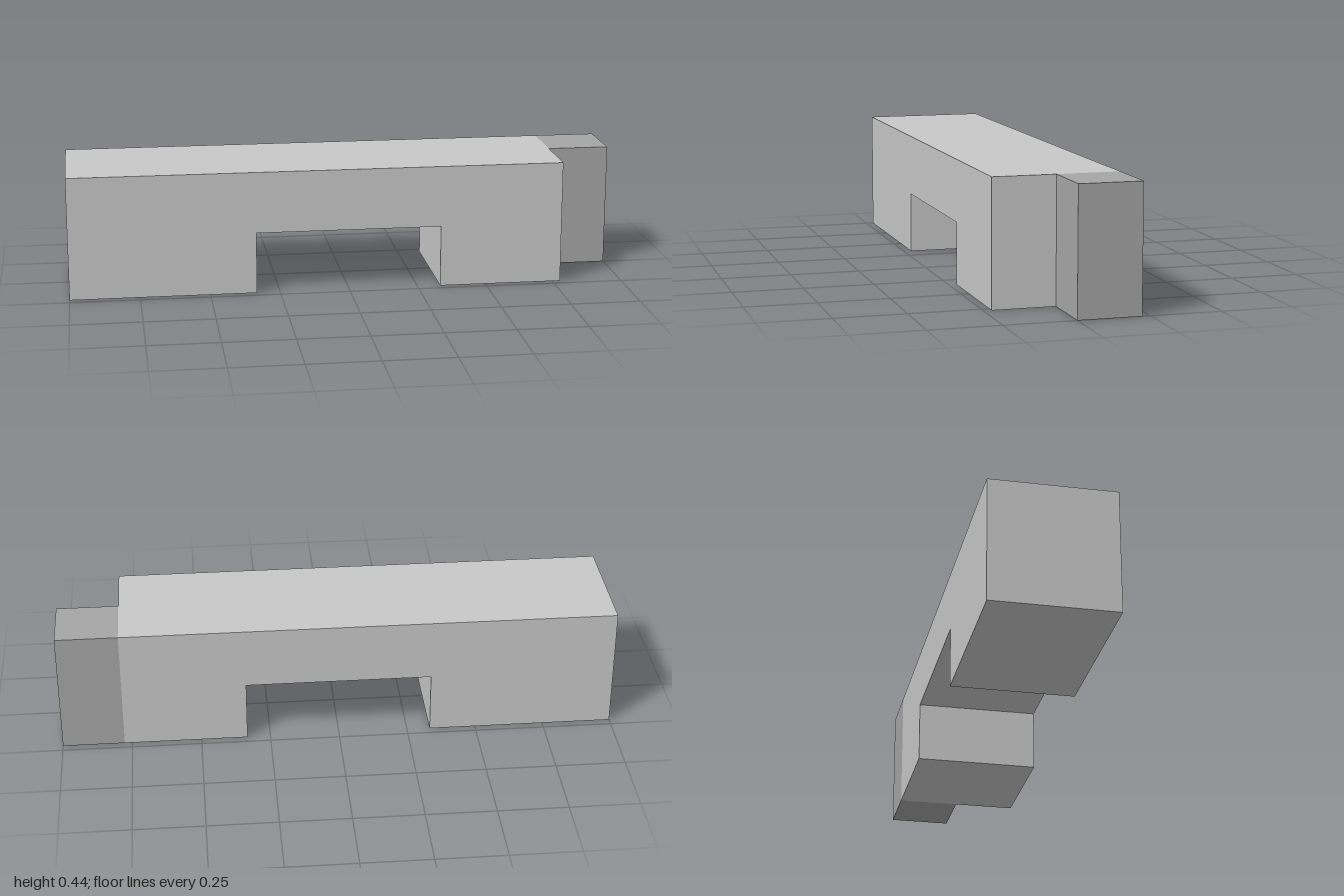
import * as THREE from 'three';

const U = 2 / 9; // grid unit: the model is 9 units long, 2 high, 2 deep

export function createModel() {
  const model = new THREE.Group();
  model.name = 'notchedBlock';

  const lightGrey = new THREE.MeshStandardMaterial({ color: 0xc8c8c8 });
  lightGrey.name = 'lightGrey';
  const darkGrey = new THREE.MeshStandardMaterial({ color: 0xa6a6a6 });
  darkGrey.name = 'darkGrey';

  // Bridge-shaped body: a beam on two feet, extruded front to back
  const profile = new THREE.Shape(
    [[-4.5, 0], [-1.5, 0], [-1.5, 1], [1.5, 1], [1.5, 0], [3.5, 0], [3.5, 2], [-4.5, 2]]
      .map(([x, y]) => new THREE.Vector2(x * U, y * U))
  );
  const bodyGeometry = new THREE.ExtrudeGeometry(profile, { depth: 2 * U, bevelEnabled: false });
  bodyGeometry.translate(0, 0, -U);
  const body = new THREE.Mesh(bodyGeometry, lightGrey);
  body.name = 'body';

  // Half-depth tab on the left end, flush with the back
  const tab = new THREE.Mesh(new THREE.BoxGeometry(U, 2 * U, U), darkGrey);
  tab.name = 'endTab';
  tab.position.set(4 * U, U, -U / 2);

  model.add(body, tab);
  return model;
}
